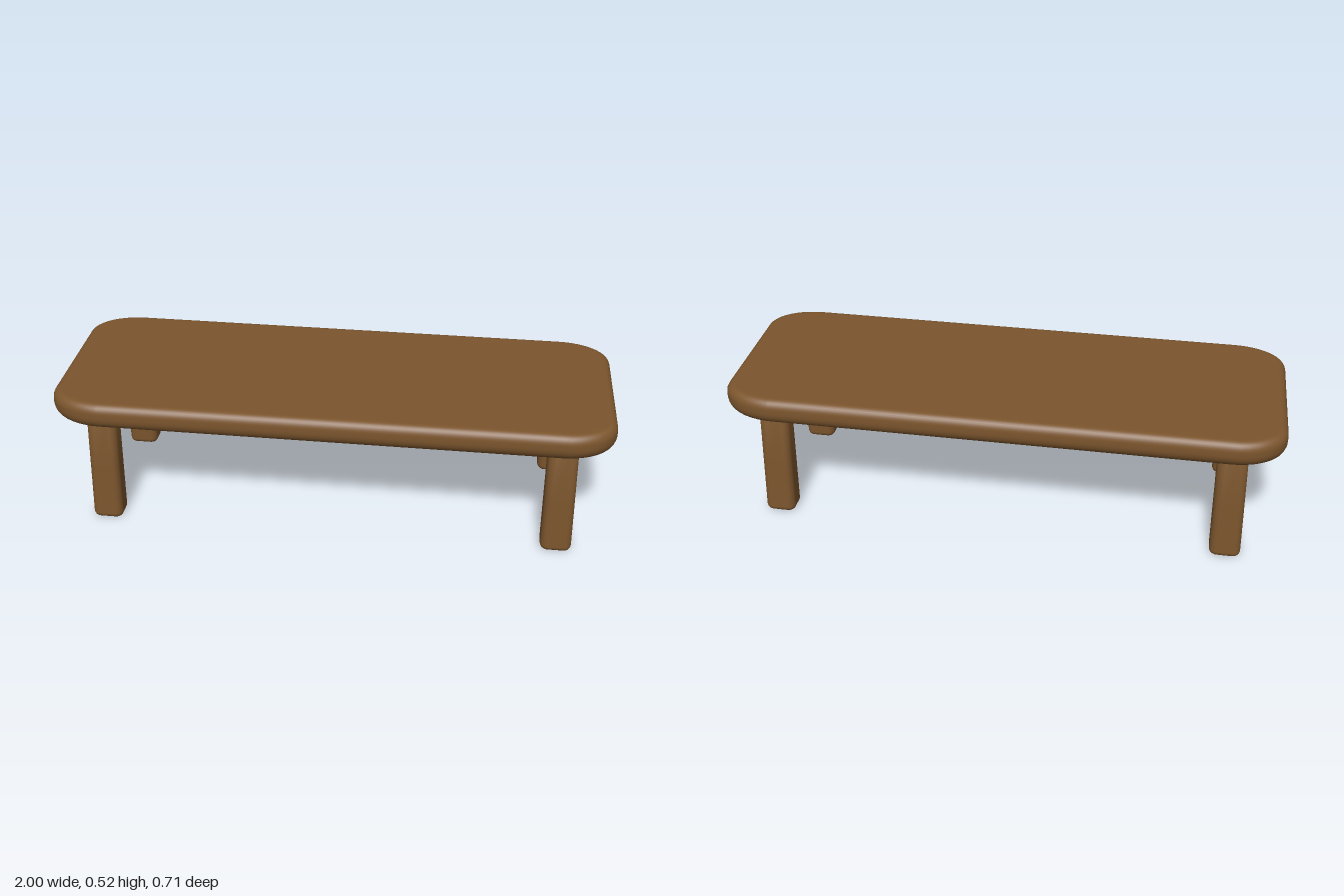
import * as THREE from 'three';

const CORNER_STEPS = 10;

// Rounded rectangle outline at height y, with elliptical corners, centred on (cx, cz)
function outline(hx, hz, rx, rz, y, cx = 0, cz = 0) {
  const points = [];
  [[1, 1], [-1, 1], [-1, -1], [1, -1]].forEach(([sx, sz], q) => {
    for (let i = 0; i <= CORNER_STEPS; i++) {
      const t = (q + i / CORNER_STEPS) * Math.PI / 2;
      points.push(new THREE.Vector3(
        cx + sx * (hx - rx) + rx * Math.cos(t), y,
        cz + sz * (hz - rz) + rz * Math.sin(t)));
    }
  });
  return points;
}

// Closed smooth solid through outlines listed from bottom to top
function loft(rings) {
  const n = rings[0].length, last = rings.length - 1;
  const centre = (ring) => ring.reduce((s, p) => s.add(p), new THREE.Vector3()).divideScalar(n);
  const points = [...rings.flat(), centre(rings[0]), centre(rings[last])];
  const bottom = points.length - 2, top = points.length - 1;
  const index = [];
  for (let j = 0; j < n; j++) {
    const k = (j + 1) % n;
    for (let i = 0; i < last; i++) {
      const a = i * n + j, b = i * n + k;
      index.push(a, a + n, b, b, a + n, b + n);
    }
    index.push(bottom, j, k, top, last * n + k, last * n + j);
  }
  const geometry = new THREE.BufferGeometry().setFromPoints(points);
  geometry.setIndex(index);
  geometry.computeVertexNormals();
  return geometry;
}

// Quarter-round edge as [inset, height above the lowest point]
function roundEdge(rIn, rUp, steps = 8) {
  return Array.from({ length: steps + 1 }, (_, i) => {
    const t = i / steps * Math.PI / 2;
    return [rIn * (1 - Math.sin(t)), rUp * (1 - Math.cos(t))];
  });
}

// Thick plank: full round below, tighter round above
function tabletopGeometry() {
  const lower = roundEdge(0.055, 0.055).map(([d, h]) => [d, 0.415 + h]);
  const upper = roundEdge(0.03, 0.035).map(([d, h]) => [d, 0.52 - h]).reverse();
  const profile = [[0.07, 0.415], ...lower, ...upper, [0.04, 0.52]];
  return loft(profile.map(([d, y]) => outline(1 - d, 0.354 - d, 0.19 - d, 0.135 - d, y)));
}

// Square leg with soft corners and foot, splayed slightly outward
function legGeometry(sx, sz) {
  const profile = [[0.026, 0], ...roundEdge(0.02, 0.022), [0, 0.22], [0, 0.43]];
  return loft(profile.map(([d, y]) => {
    const t = y / 0.415;
    const cx = sx * (0.831 - 0.009 * t), cz = sz * (0.258 - 0.016 * t);
    return outline(0.056 - 0.003 * t - d, 0.048 - 0.001 * t - d, 0.028 - d, 0.028 - d, y, cx, cz);
  }));
}

export function createModel() {
  const wood = new THREE.MeshStandardMaterial({ color: 0x7b552d });
  wood.name = 'brown wood';
  const model = new THREE.Group();
  model.name = 'lowTable';

  const add = (name, geometry) => {
    const mesh = new THREE.Mesh(geometry, wood);
    mesh.name = name;
    model.add(mesh);
  };

  add('tabletop', tabletopGeometry());
  for (const [side, sx] of [['Left', 1], ['Right', -1]]) {
    for (const [end, sz] of [['front', 1], ['back', -1]]) {
      add(`${end}${side}Leg`, legGeometry(sx, sz));
    }
  }
  return model;
}
